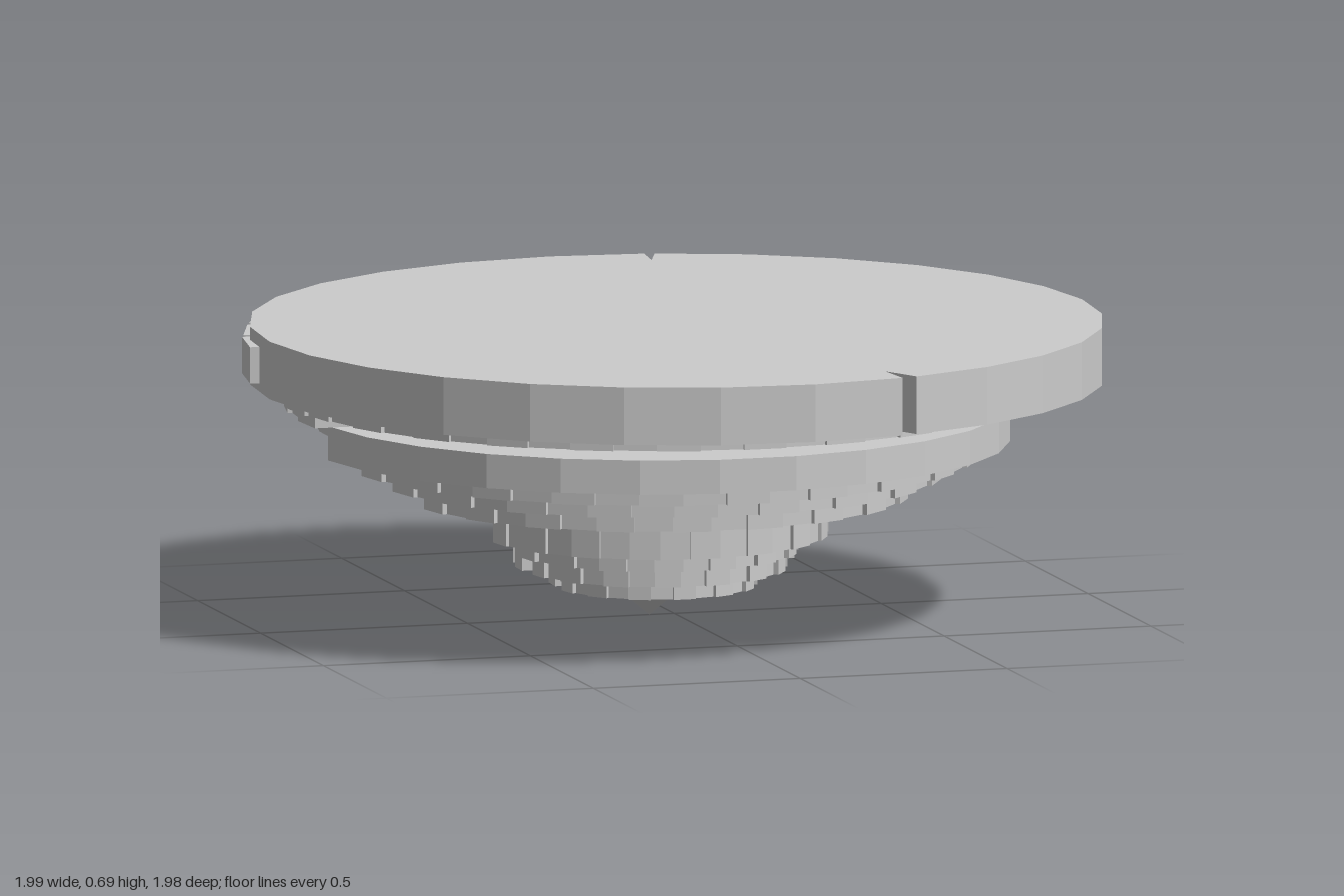
import * as THREE from 'three';

const mat = new THREE.MeshStandardMaterial({ color: 0xcccccc, flatShading: true, side: THREE.DoubleSide });
const CX = -0.045; // axis of the stepped underside

// Flat slab from an outline in (x, z), between two heights
function slab(name, pts, y0, y1) {
  const shape = new THREE.Shape(pts.map(([x, z]) => new THREE.Vector2(x, z)));
  const geo = new THREE.ExtrudeGeometry(shape, { depth: y1 - y0, bevelEnabled: false });
  geo.rotateX(Math.PI / 2);
  geo.translate(0, y1, 0);
  const mesh = new THREE.Mesh(geo, mat);
  mesh.name = name;
  return mesh;
}

// Half ring outline of straight blocks, cut at z = cut; side is +1 front, -1 back
function halfOutline(r, blocks, cut, side, step) {
  const start = Math.asin(side * cut / r);
  const span = Math.PI - 2 * start;
  const pts = [];
  for (let i = 0; i < blocks; i++) {
    const rr = r - (i % 2 ? step : 0);
    for (const k of [i, i + 1]) {
      const a = start + (k / blocks) * span;
      pts.push([CX + rr * Math.cos(a), k % blocks ? side * rr * Math.sin(a) : cut]);
    }
  }
  return pts;
}

// Half of a sloping underside between tiers
function slope(name, rTop, rBottom, y0, y1, side) {
  const geo = new THREE.CylinderGeometry(rTop, rBottom, y1 - y0, 16, 1, false, -Math.PI / 2, Math.PI);
  if (side < 0) geo.rotateY(Math.PI);
  geo.translate(CX, (y0 + y1) / 2, 0);
  const mesh = new THREE.Mesh(geo, mat);
  mesh.name = name;
  return mesh;
}

export function createModel() {
  const group = new THREE.Group();

  // Big disc with a narrow notch at the back and at the front
  const rim = [];
  const addArc = (from, to, n) => {
    for (let i = 0; i <= n; i++) {
      const a = THREE.MathUtils.degToRad(from + (to - from) * i / n);
      rim.push([0.005 - 0.99 * Math.sin(a), -0.99 * Math.cos(a)]);
    }
  };
  addArc(-12.6, 195, 16);
  rim.push([0.25, 0.85]);
  addArc(197.2, 346, 12);
  rim.push([0.21, -0.87]);
  group.add(slab('disc', rim, 0.55, 0.685));

  // Panels on the rim
  const panels = new THREE.Group();
  panels.name = 'rimPanels';
  for (const [x, z] of [[-0.968, -0.17], [-0.917, -0.342], [-0.84, -0.505], [-0.725, -0.646]]) {
    const panel = new THREE.Mesh(new THREE.BoxGeometry(0.155, 0.085, 0.03), mat);
    panel.position.set(x, 0.612, z);
    panel.rotation.y = Math.atan2(x, z);
    panel.name = 'rimPanel';
    panels.add(panel);
  }
  group.add(panels);

  // Front half tiers: radius, bottom, top, blocks, cut, step
  const front = new THREE.Group();
  front.name = 'frontTiers';
  for (const [r, y0, y1, n, cut, step] of [
    [0.875, 0.52, 0.55, 25, 0.1, 0.01],
    [0.82, 0.41, 0.49, 13, 0.08, 0],
    [0.74, 0.37, 0.41, 21, 0.08, 0.012],
    [0.665, 0.33, 0.37, 19, 0.08, 0.012],
    [0.59, 0.285, 0.33, 19, 0.08, 0.012],
    [0.4, 0.19, 0.27, 17, 0.02, 0.008],
    [0.33, 0.15, 0.19, 15, 0.02, 0.012],
    [0.305, 0.11, 0.15, 15, 0.02, 0.012],
    [0.235, 0.07, 0.11, 13, 0.02, 0.01],
  ]) front.add(slab('frontTier', halfOutline(r, n, cut, 1, step), y0, y1));
  front.add(slope('frontUpperSlope', 0.7, 0.65, 0.49, 0.52, 1));
  front.add(slope('frontLowerSlope', 0.38, 0.34, 0.27, 0.285, 1));
  group.add(front);

  // Back half tiers, set at different heights
  const back = new THREE.Group();
  back.name = 'backTiers';
  for (const [r, y0, y1, n, cut, step] of [
    [0.885, 0.52, 0.55, 25, 0.1, 0.012],
    [0.86, 0.49, 0.52, 25, 0.1, 0.012],
    [0.79, 0.45, 0.49, 15, 0.08, 0],
    [0.6, 0.36, 0.44, 23, 0.06, 0.008],
    [0.52, 0.315, 0.36, 19, 0.06, 0.012],
    [0.45, 0.28, 0.315, 19, 0.06, 0.012],
    [0.37, 0.23, 0.28, 17, 0.06, 0.012],
    [0.33, 0.12, 0.2, 17, 0.02, 0.008],
    [0.25, 0.08, 0.12, 13, 0.02, 0.01],
  ]) back.add(slab('backTier', halfOutline(r, n, cut, -1, step), y0, y1));
  back.add(slope('backUpperSlope', 0.6, 0.56, 0.44, 0.45, -1));
  back.add(slope('backLowerSlope', 0.3, 0.25, 0.2, 0.23, -1));
  group.add(back);

  // Pointed tip
  const tip = new THREE.Mesh(new THREE.CylinderGeometry(0.095, 0, 0.08, 20), mat);
  tip.position.set(-0.06, 0.04, 0);
  tip.name = 'tip';
  group.add(tip);

  return group;
}
